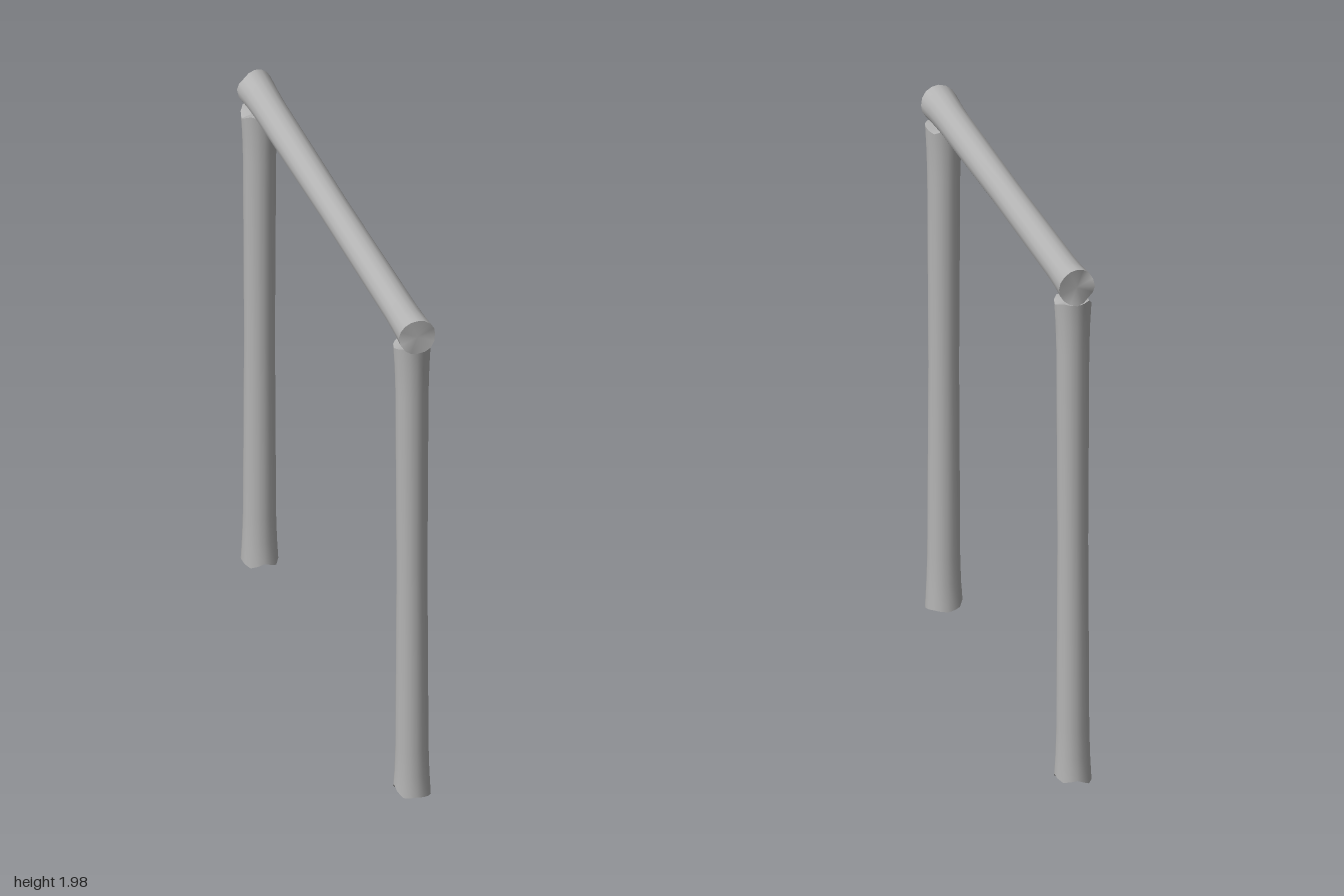
import * as THREE from 'three';
import { toCreasedNormals } from 'three/addons/utils/BufferGeometryUtils.js';

const SEGMENTS = 16;

// Upright log from y = 0 to y = length: slim waist, flared and broken ends.
// bottomCuts and topCuts are 8 inward depths around the rim, starting at +z towards +x.
function logGeometry(length, bottomCuts, topCuts) {
  const profile = [
    [0, 0], [0.068, 0], [0.063, 0.1], [0.06, 0.2], [0.056, length / 2],
    [0.06, length - 0.2], [0.063, length - 0.1], [0.068, length], [0, length],
  ].map(([r, y]) => new THREE.Vector2(r, y));
  const geometry = new THREE.LatheGeometry(profile, SEGMENTS);
  const pos = geometry.attributes.position;
  const rows = profile.length;
  const mean = (cuts) => cuts.reduce((a, b) => a + b, 0) / cuts.length;

  for (let i = 0; i < pos.count; i++) {
    const row = i % rows;
    const t = ((Math.floor(i / rows) % SEGMENTS) / SEGMENTS) * 8;
    const k = Math.floor(t);
    const cutAt = (cuts) => THREE.MathUtils.lerp(cuts[k], cuts[(k + 1) % 8], t - k);
    if (row === 0) pos.setY(i, mean(bottomCuts));
    if (row === 1) pos.setY(i, cutAt(bottomCuts));
    if (row === rows - 2) pos.setY(i, length - cutAt(topCuts));
    if (row === rows - 1) pos.setY(i, length - mean(topCuts));
  }
  return toCreasedNormals(geometry, 0.7);
}

export function createModel() {
  const model = new THREE.Group();
  model.name = 'logFrame';
  const wood = new THREE.MeshStandardMaterial({ color: 0xb4b4b4 });
  wood.name = 'greyWood';

  const addLog = (name, geometry, y, z) => {
    const log = new THREE.Mesh(geometry, wood);
    log.name = name;
    log.position.set(0, y, z);
    model.add(log);
    return log;
  };

  // Two upright posts
  addLog('frontPost', logGeometry(1.85,
    [0.02, 0.01, 0.0, 0.005, 0.0, 0.01, 0.05, 0.015],
    [0.01, 0.0, 0.005, 0.02, 0.0, 0.01, 0.015, 0.0]), 0.008, 0.923);
  addLog('backPost', logGeometry(1.85,
    [0.02, 0.0, 0.03, 0.01, 0.02, 0.0, 0.015, 0.0],
    [0.01, 0.0, 0.02, 0.005, 0.01, 0.0, 0.03, 0.005]), 0.004, -0.923);

  // Beam lying across the posts, running back to front
  const beam = addLog('topBeam', logGeometry(1.99,
    [0.0, 0.01, 0.005, 0.0, 0.01, 0.03, 0.015, 0.03],
    [0.005, 0.0, 0.012, 0.003, 0.0, 0.005, 0.014, 0.0]), 1.912, -0.993);
  beam.rotation.x = Math.PI / 2;

  return model;
}
